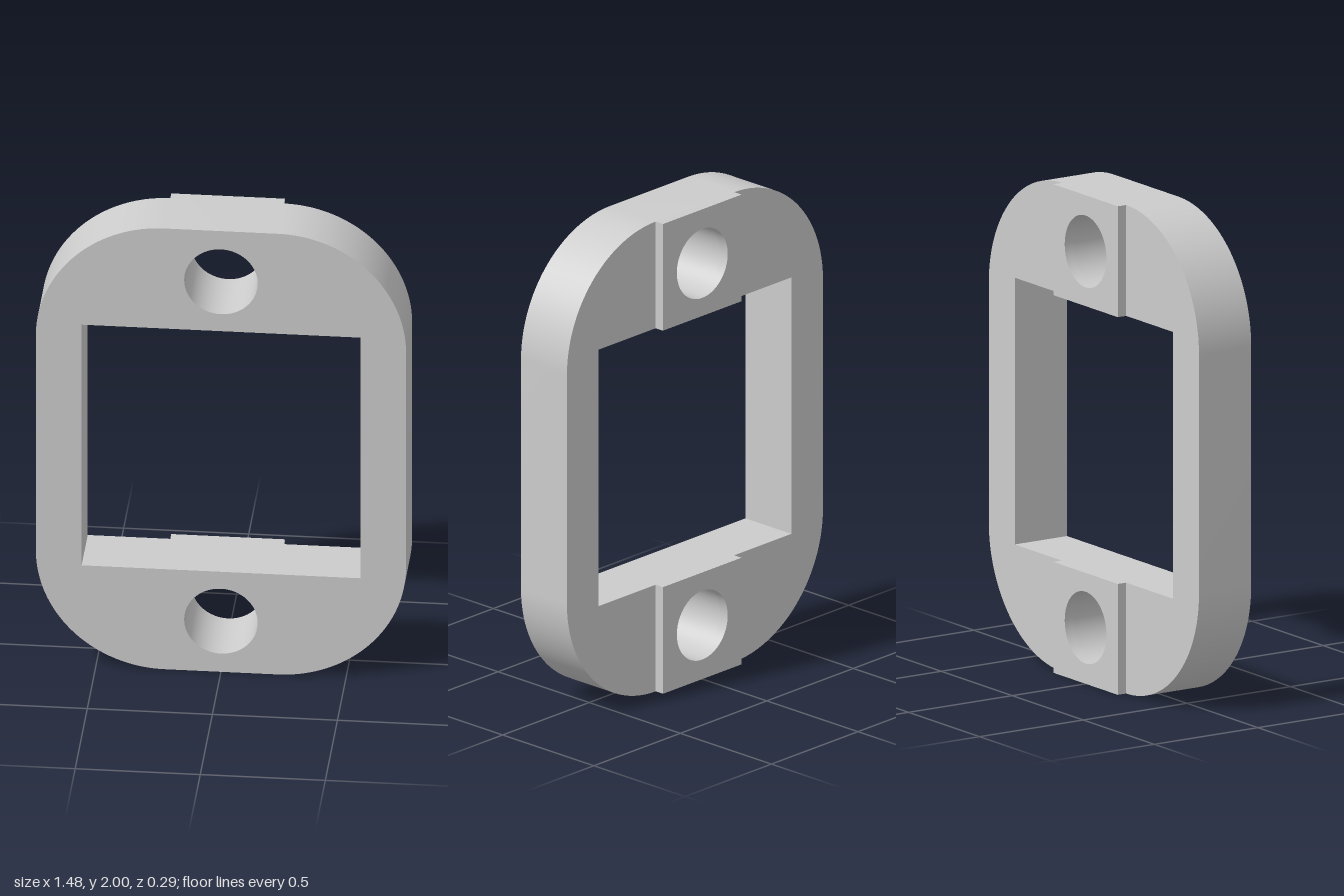
import * as THREE from 'three';
import { toCreasedNormals } from 'three/addons/utils/BufferGeometryUtils.js';

const W = 0.74, R = 0.513;             // half width, corner radius
const FRONT = 0.146, BACK = -0.106, PAD_BACK = -0.146;
const WIN_X = 0.557, WIN_Y0 = 0.454, WIN_Y1 = 1.546;
const HOLE_R = 0.147, HOLE_YS = [0.23, 1.77];
const PAD_W = 0.227;

function rect(Type, x0, y0, x1, y1) {
  return new Type([[x0, y0], [x1, y0], [x1, y1], [x0, y1]].map(([x, y]) => new THREE.Vector2(x, y)));
}

function screwHole(y) {
  return new THREE.Path().absarc(0, y, HOLE_R, 0, Math.PI * 2, true);
}

// Extrude a shape between two z planes, smooth on curves and sharp on edges
function slab(name, shape, z0, z1, material) {
  const geometry = new THREE.ExtrudeGeometry(shape, { depth: z1 - z0, bevelEnabled: false, curveSegments: 32 });
  geometry.translate(0, 0, z0);
  const mesh = new THREE.Mesh(toCreasedNormals(geometry, 0.5), material);
  mesh.name = name;
  return mesh;
}

export function createModel() {
  const group = new THREE.Group();
  group.name = 'mountingFrame';
  const grey = new THREE.MeshStandardMaterial({ color: 0xcccccc });
  grey.name = 'light grey';

  // Rounded frame with a window and two screw holes
  const outline = new THREE.Shape();
  outline.absarc(W - R, R, R, -Math.PI / 2, 0);
  outline.absarc(W - R, 2 - R, R, 0, Math.PI / 2);
  outline.absarc(R - W, 2 - R, R, Math.PI / 2, Math.PI);
  outline.absarc(R - W, R, R, Math.PI, Math.PI * 1.5);
  outline.closePath();
  outline.holes.push(rect(THREE.Path, -WIN_X, WIN_Y0, WIN_X, WIN_Y1), ...HOLE_YS.map(screwHole));
  group.add(slab('framePlate', outline, BACK, FRONT, grey));

  // Raised pads behind the screw holes
  [['lowerPad', 0, WIN_Y0], ['upperPad', WIN_Y1, 2]].forEach(([name, y0, y1], i) => {
    const pad = rect(THREE.Shape, -PAD_W, y0, PAD_W, y1);
    pad.holes.push(screwHole(HOLE_YS[i]));
    group.add(slab(name, pad, PAD_BACK, BACK, grey));
  });

  return group;
}
